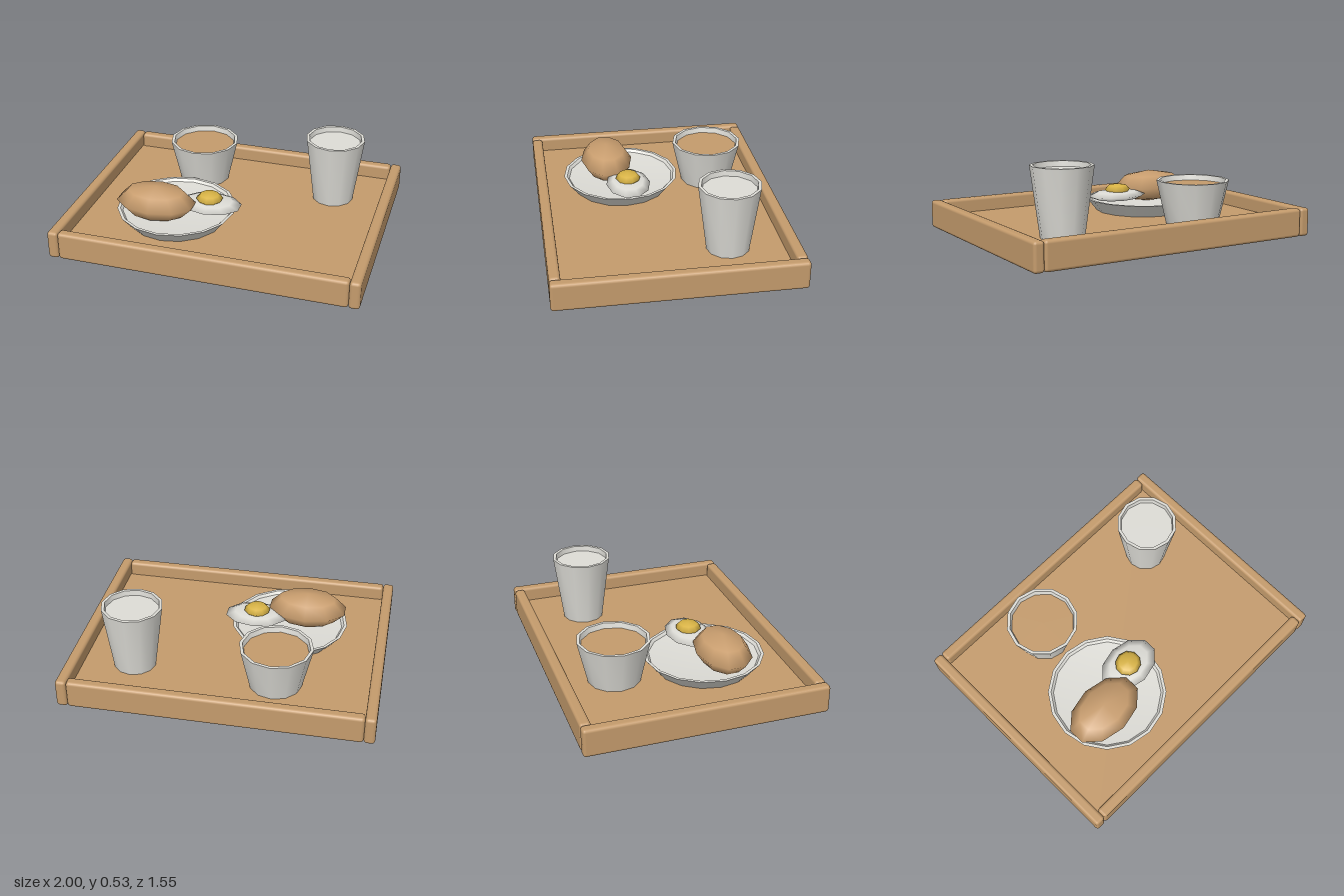
import * as THREE from 'three';
import { toCreasedNormals } from 'three/addons/utils/BufferGeometryUtils.js';
import { RoundedBoxGeometry } from 'three/addons/geometries/RoundedBoxGeometry.js';

function material(name, color) {
  const m = new THREE.MeshStandardMaterial({ color });
  m.name = name;
  return m;
}

export function createModel() {
  const wood = material('wood', 0xc49b6c);
  const bread = material('bread crust', 0xc89d6e);
  const white = material('glazed white', 0xdddcd6);
  const yellow = material('yolk yellow', 0xd8b345);
  const model = new THREE.Group();
  model.name = 'breakfastTray';
  const FLOOR = 0.09;

  function add(name, geometry, mat, x, y, z, parent = model) {
    const mesh = new THREE.Mesh(geometry, mat);
    mesh.name = name;
    mesh.position.set(x, y, z);
    parent.add(mesh);
    return mesh;
  }

  // Revolved dish, profile runs from the bottom centre out, up and back inside
  function dish(points, sides) {
    const profile = points.map(([r, y]) => new THREE.Vector2(r, y));
    return toCreasedNormals(new THREE.LatheGeometry(profile, sides), 0.7);
  }

  // Coarse ten-sided squashed ball
  function blob(rx, ry, rz) {
    return new THREE.SphereGeometry(1, 10, 4).rotateY(Math.PI / 2).scale(rx, ry, rz);
  }

  // Tray: base board and four rounded rails
  const tray = new THREE.Group();
  tray.name = 'tray';
  model.add(tray);
  add('trayBase', new THREE.BoxGeometry(1.9, FLOOR - 0.012, 1.46), wood, 0, (FLOOR + 0.012) / 2, 0, tray);
  for (const s of [-1, 1]) {
    add(s > 0 ? 'leftRail' : 'rightRail',
      new RoundedBoxGeometry(0.07, 0.185, 1.555, 2, 0.02), wood, s * 0.965, 0.0925, 0, tray);
    add(s > 0 ? 'frontRail' : 'backRail',
      new RoundedBoxGeometry(1.86, 0.185, 0.07, 2, 0.02), wood, 0, 0.0925, s * 0.742, tray);
  }

  // Plate with a shallow hollow
  add('plate', dish([[0, 0], [0.32, 0], [0.39, 0.085], [0.37, 0.085], [0.355, 0.068], [0, 0.035]], 16),
    white, -0.335, FLOOR, 0.2);

  // Bread roll and fried egg
  add('breadRoll', blob(0.268, 0.11, 0.175), bread, -0.445, 0.235, 0.285);
  add('eggWhite', blob(0.21, 0.035, 0.148), white, -0.11, 0.21, 0.175);
  add('eggYolk', blob(0.088, 0.04, 0.083), yellow, -0.115, 0.25, 0.175);

  // Soup bowl
  add('bowl', dish([[0, 0], [0.17, 0], [0.235, 0.285], [0.215, 0.285], [0.155, 0.02], [0, 0.02]], 12),
    white, -0.335, FLOOR, -0.4);
  add('soup', new THREE.CylinderGeometry(0.21, 0.16, 0.22, 12), wood, -0.335, FLOOR + 0.14, -0.4);

  // Drinking cup, filled almost to the rim
  add('cup', dish([[0, 0], [0.137, 0], [0.197, 0.445], [0.177, 0.445], [0.12, 0.02], [0, 0.02]], 12),
    white, 0.597, FLOOR, -0.357);
  add('drink', new THREE.CylinderGeometry(0.173, 0.125, 0.38, 12), white, 0.597, FLOOR + 0.22, -0.357);

  return model;
}
